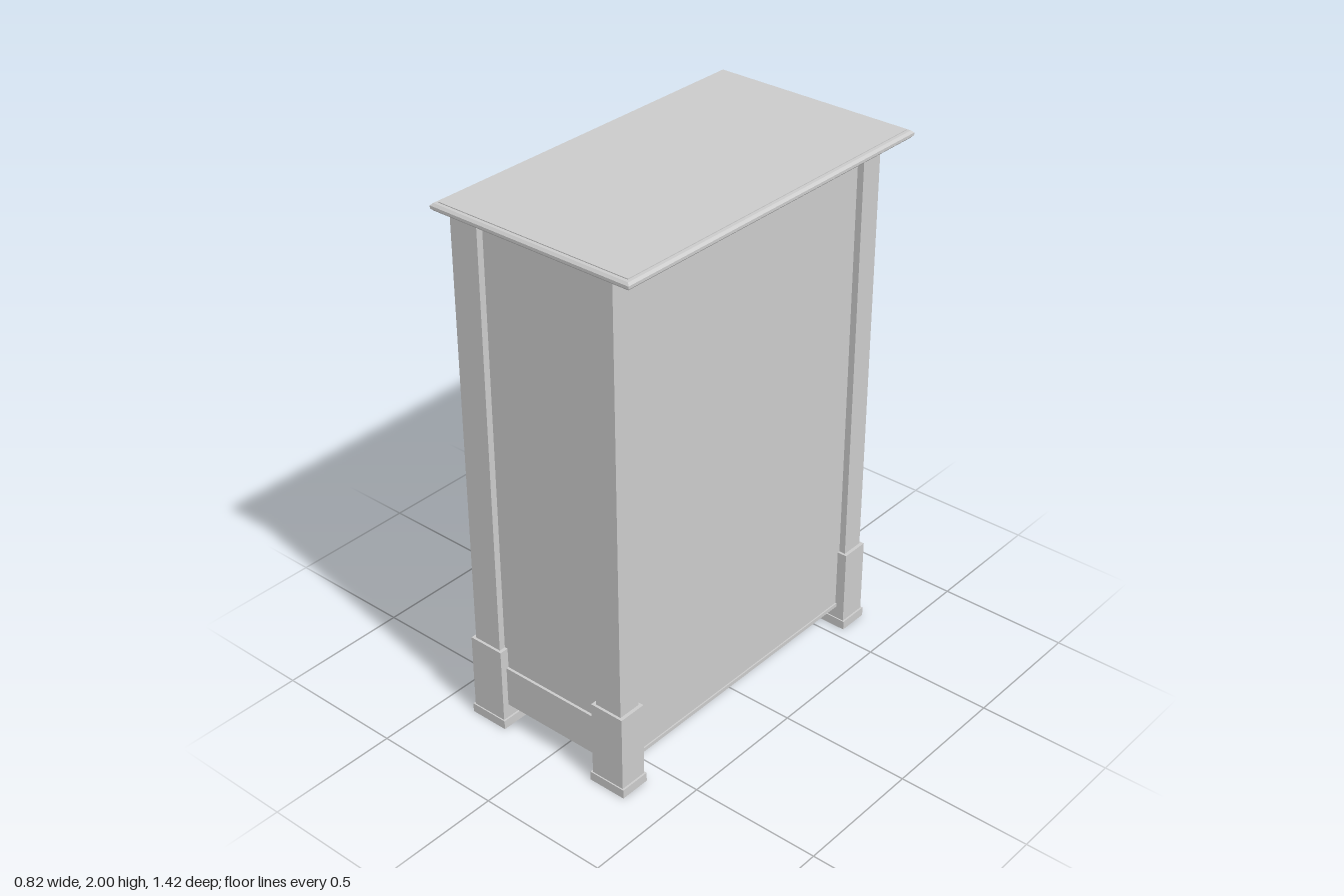
import * as THREE from 'three';

const material = new THREE.MeshStandardMaterial({ color: 0xcccccc });

// Box given by its limits on each axis
function box(parent, name, [x0, x1], [y0, y1], [z0, z1]) {
  const mesh = new THREE.Mesh(new THREE.BoxGeometry(x1 - x0, y1 - y0, z1 - z0), material);
  mesh.position.set((x0 + x1) / 2, (y0 + y1) / 2, (z0 + z1) / 2);
  mesh.name = name;
  parent.add(mesh);
  return mesh;
}

// Slab with a chamfered edge all round, built from a rectangle
function chamferedSlab(width, depth, height, bevel) {
  const w = width / 2 - bevel, d = depth / 2 - bevel;
  const shape = new THREE.Shape([[-w, -d], [w, -d], [w, d], [-w, d]].map(p => new THREE.Vector2(...p)));
  const geo = new THREE.ExtrudeGeometry(shape, {
    depth: height - 2 * bevel, bevelEnabled: true, bevelSize: bevel, bevelThickness: bevel, bevelSegments: 1,
  });
  geo.translate(0, 0, bevel);
  return geo;
}

// Drawer pull facing +z: shaped backplate, two posts and a hanging bail
function createPull() {
  const pull = new THREE.Group();
  pull.name = 'drawerPull';
  const half = [[0, 0.055], [0.02, 0.04], [0.035, 0.045], [0.05, 0.025], [0.078, 0.018],
    [0.068, 0], [0.075, -0.02], [0.045, -0.025], [0.025, -0.045], [0, -0.055]];
  const outline = [...half, ...half.slice(1, -1).reverse().map(([x, y]) => [-x, y])];
  const plate = new THREE.Mesh(new THREE.ExtrudeGeometry(
    new THREE.Shape(outline.map(p => new THREE.Vector2(...p))),
    { depth: 0.006, bevelEnabled: false }), material);
  plate.name = 'pullBackplate';
  pull.add(plate);

  for (const side of [-1, 1]) {
    const post = new THREE.Mesh(new THREE.CylinderGeometry(0.006, 0.008, 0.022, 10), material);
    post.rotation.x = Math.PI / 2;
    post.position.set(side * 0.042, 0.006, 0.014);
    post.name = 'pullPost';
    pull.add(post);
  }
  const curve = new THREE.CatmullRomCurve3([[-0.042, 0.006, 0.021], [-0.045, -0.012, 0.023], [-0.025, -0.03, 0.024],
    [0, -0.034, 0.024], [0.025, -0.03, 0.024], [0.045, -0.012, 0.023], [0.042, 0.006, 0.021]]
    .map(p => new THREE.Vector3(...p)));
  const bail = new THREE.Mesh(new THREE.TubeGeometry(curve, 24, 0.0045, 8), material);
  bail.name = 'pullBail';
  pull.add(bail);
  return pull;
}

export function createModel() {
  const chest = new THREE.Group();
  chest.name = 'tallChest';

  // Table top with chamfered rim and a slightly raised field
  const top = new THREE.Mesh(chamferedSlab(0.82, 1.42, 0.026, 0.008), material);
  top.rotation.x = -Math.PI / 2;
  top.position.y = 1.971;
  top.name = 'topSlab';
  chest.add(top);
  box(chest, 'topField', [-0.39, 0.39], [1.99, 2], [-0.695, 0.69]);

  // Carcase sits slightly off centre under the top
  const carcase = new THREE.Group();
  carcase.name = 'carcase';
  carcase.position.z = 0.015;
  chest.add(carcase);

  // Corner posts, each in a boxed sleeve on a small foot
  const zRange = (s, a, b) => s > 0 ? [a, b] : [-b, -a];
  for (const s of [-1, 1]) {
    for (const [x0, x1] of [[-0.355, -0.24], [0.21, 0.32]]) {
      box(carcase, 'cornerPost', [x0, x1], [0.04, 1.972], zRange(s, 0.575, 0.665));
      box(carcase, 'legSleeve', [x0 - 0.013, x1 + 0.013], [0.035, 0.33], zRange(s, 0.565, 0.675));
      box(carcase, 'foot', [x0 - 0.02, x1 + 0.02], [0, 0.035], zRange(s, 0.56, 0.68));
    }
    // Recessed side panel with a low rail
    box(carcase, 'sidePanel', [-0.25, 0.22], [0.09, 1.972], zRange(s, 0.61, 0.64));
    box(carcase, 'sideRail', [-0.25, 0.22], [0.09, 0.25], zRange(s, 0.605, 0.65));
  }

  // Back, bottom and top boards
  box(carcase, 'backPanel', [0.265, 0.295], [0.1, 1.972], [-0.58, 0.58]);
  box(carcase, 'bottomPanel', [-0.3, 0.3], [0.085, 0.1], [-0.61, 0.61]);
  box(carcase, 'topBoard', [-0.345, 0.31], [1.955, 1.972], [-0.6, 0.6]);

  // Drawer frame and apron behind the drawer fronts
  box(carcase, 'drawerFrame', [-0.328, -0.3], [0.2, 1.96], [-0.58, 0.58]);
  box(carcase, 'apron', [-0.335, -0.31], [0.09, 0.205], [-0.58, 0.58]);

  // Five drawers, each with a lipped front and two pulls
  for (const y of [1.81, 1.45, 1.08, 0.69, 0.335]) {
    const drawer = new THREE.Group();
    drawer.name = 'drawer';
    drawer.position.y = y;
    carcase.add(drawer);
    const front = new THREE.Mesh(chamferedSlab(1.14, 0.24, 0.03, 0.008), material);
    front.rotation.y = -Math.PI / 2;
    front.position.x = -0.321;
    front.name = 'drawerFront';
    drawer.add(front);
    for (const z of [-0.345, 0.345]) {
      const pull = createPull();
      pull.rotation.y = -Math.PI / 2;
      pull.position.set(-0.351, -0.01, z);
      drawer.add(pull);
    }
  }
  return chest;
}
